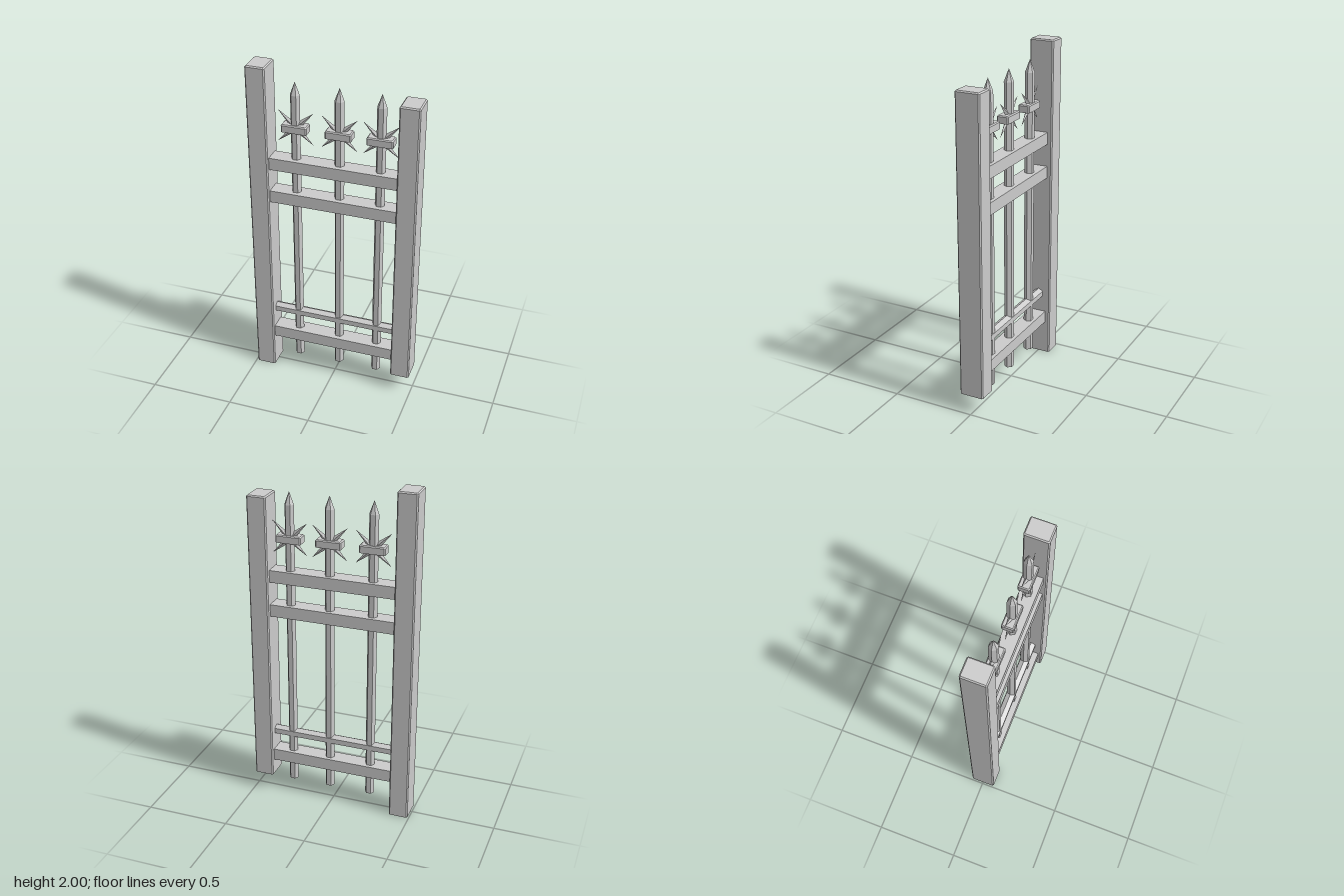
import * as THREE from 'three';

const material = new THREE.MeshStandardMaterial({
  color: 0xcccccc, flatShading: true, side: THREE.DoubleSide,
});

function addMesh(parent, name, geometry, x = 0, y = 0, z = 0) {
  const mesh = new THREE.Mesh(geometry, material);
  mesh.name = name;
  mesh.position.set(x, y, z);
  parent.add(mesh);
  return mesh;
}

// Rectangle outline in the xz plane, with cut corners when c > 0
function outline(w, d, c, y) {
  const a = w / 2, b = d / 2;
  const points = c > 0
    ? [[a, b - c], [a - c, b], [c - a, b], [-a, b - c], [-a, c - b], [c - a, -b], [a - c, -b], [a, c - b]]
    : [[a, b], [-a, b], [-a, -b], [a, -b]];
  return points.map(([x, z]) => [x, y, z]);
}

// Block standing on y = 0, open underneath, with chamfered sides and top
function openBlock(w, h, d, c = 0) {
  const rings = [outline(w, d, c, 0), outline(w, d, c, h - c)];
  if (c > 0) rings.push(outline(w - 2 * c, d - 2 * c, c * 0.4, h));
  const n = rings[0].length;
  const index = [];
  for (let r = 0; r < rings.length - 1; r++) {
    for (let i = 0; i < n; i++) {
      const a = r * n + i, b = r * n + (i + 1) % n;
      index.push(a, a + n, b, b, a + n, b + n);
    }
  }
  const top = (rings.length - 1) * n;
  for (let i = 1; i < n - 1; i++) index.push(top, top + i + 1, top + i);
  const geometry = new THREE.BufferGeometry();
  geometry.setAttribute('position', new THREE.Float32BufferAttribute(rings.flat(2), 3));
  geometry.setIndex(index);
  geometry.computeVertexNormals();
  return geometry;
}

// Hexagonal bar with a pointed top, a collar block and four crossed thorns
function createPicket(x) {
  const picket = new THREE.Group();
  picket.name = 'picket';
  picket.position.x = x;

  const profile = [[0.028, 0.085], [0.028, 1.84], [0, 1.915]].map(([r, y]) => new THREE.Vector2(r, y));
  addMesh(picket, 'spearBar', new THREE.LatheGeometry(profile, 6, Math.PI / 2));
  addMesh(picket, 'collar', openBlock(0.15, 0.045, 0.07, 0.006), 0, 1.62, 0.002);

  const length = 0.142;
  const thorn = new THREE.ConeGeometry(0.022, length, 4, 1, true);
  thorn.translate(0, length / 2, 0);
  thorn.scale(1, 1, 0.7);
  for (let i = 0; i < 4; i++) {
    const spike = addMesh(picket, 'thorn', thorn, 0, 1.644, 0);
    spike.rotation.z = Math.PI / 4 + i * Math.PI / 2 + (i % 2 ? -0.04 : 0.04);
  }
  return picket;
}

export function createModel() {
  const gate = new THREE.Group();
  gate.name = 'fenceSection';

  // Posts of unequal height
  addMesh(gate, 'rightPost', openBlock(0.115, 2, 0.147, 0.007), -0.433, 0, -0.001);
  addMesh(gate, 'leftPost', openBlock(0.115, 1.775, 0.147, 0.007), 0.431, 0.115, -0.001);

  // Flat rails
  for (const y of [0.21, 1.17, 1.38]) {
    addMesh(gate, 'rail', openBlock(0.752, 0.073, 0.098), -0.002, y, 0.003);
  }

  // Thin hexagonal rail, one edge up
  const hexRail = new THREE.CylinderGeometry(0.032, 0.032, 0.752, 6, 1, true);
  hexRail.rotateY(Math.PI / 2);
  hexRail.rotateZ(Math.PI / 2);
  addMesh(gate, 'hexRail', hexRail, -0.002, 0.402, 0.001);

  for (const x of [-0.23, 0.025, 0.262]) gate.add(createPicket(x));
  return gate;
}
